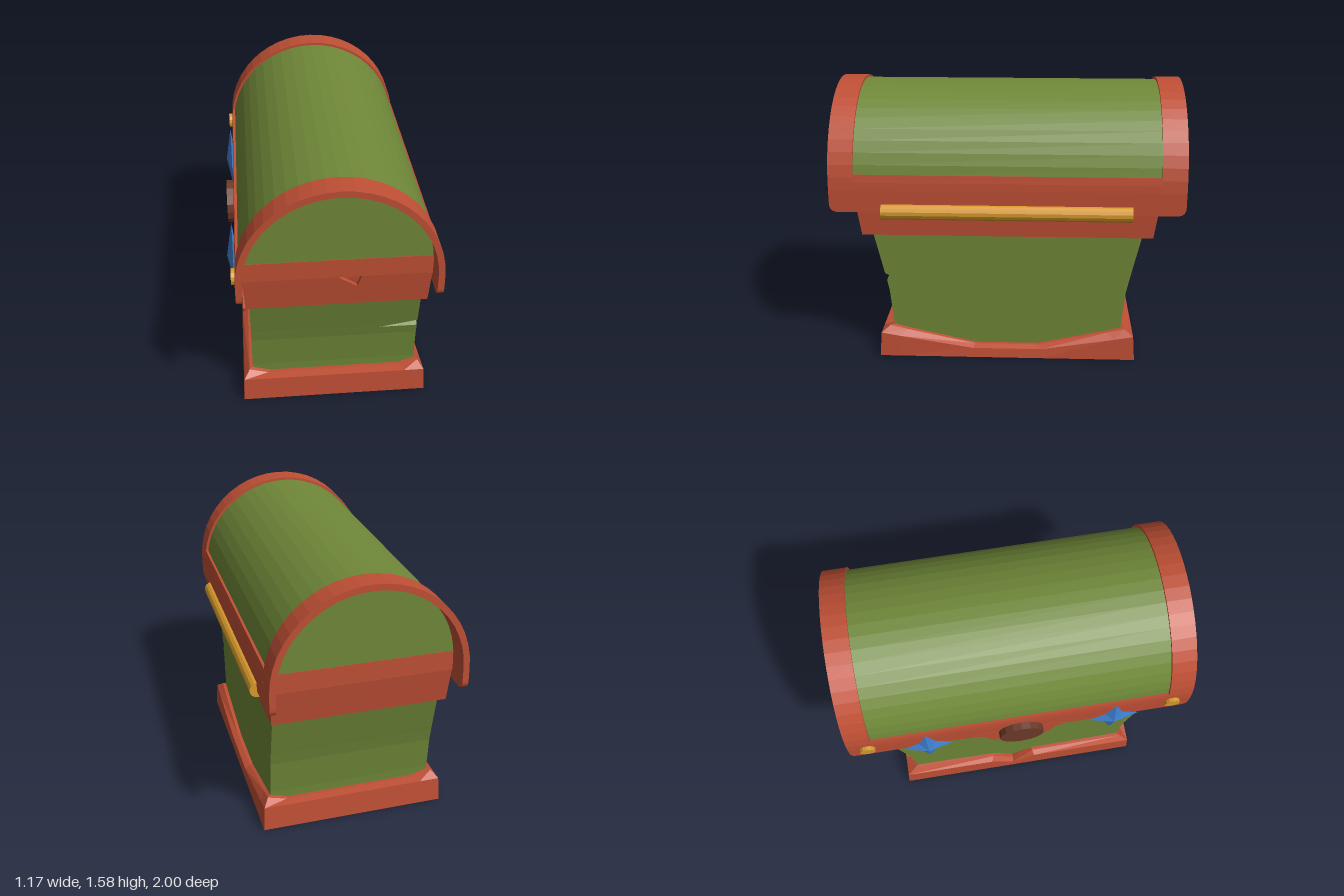
import * as THREE from 'three';

const mat = (color) => new THREE.MeshStandardMaterial({ color, flatShading: true });

export function createModel() {
  const group = new THREE.Group();
  const red = mat(0xbf4f35), green = mat(0x6f8838), gold = mat(0xd99a2b);
  const blue = mat(0x3f7fd0), brown = mat(0x6e3b2a);

  const add = (name, geometry, material) => {
    const mesh = new THREE.Mesh(geometry, material);
    mesh.name = name;
    group.add(mesh);
    return mesh;
  };

  const polygon = (pts) => new THREE.Shape(pts.map(([x, y]) => new THREE.Vector2(x, y)));

  const extrudeZ = (shape, z0, z1) =>
    new THREE.ExtrudeGeometry(shape, { depth: z1 - z0, bevelEnabled: false, curveSegments: 8 }).translate(0, 0, z0);

  // Shape drawn in (z, y), thickness running along x
  const extrudeX = (shape, x0, x1) => extrudeZ(shape, -x1, -x0).rotateY(-Math.PI / 2);

  // Skin over closed rings of points; wrap joins the last ring to the first
  const loft = (rows, wrap = false) => {
    const out = [];
    const n = rows[0].length;
    for (let j = 0; j < rows.length - (wrap ? 0 : 1); j++) {
      const lo = rows[j], hi = rows[(j + 1) % rows.length];
      for (let i = 0; i < n; i++) {
        const k = (i + 1) % n;
        out.push(...lo[i], ...lo[k], ...hi[k], ...lo[i], ...hi[k], ...hi[i]);
      }
    }
    const g = new THREE.BufferGeometry();
    g.setAttribute('position', new THREE.Float32BufferAttribute(out, 3));
    g.computeVertexNormals();
    return g;
  };

  // Curved band around the lid axis
  const lidY = 1.03;
  const bandShape = (rIn, rOut, a0, a1, segs) => {
    const arc = (r, t) => {
      const a = a0 + (a1 - a0) * t;
      return [r * Math.cos(a), lidY + r * Math.sin(a)];
    };
    const pts = [];
    for (let i = 0; i <= segs; i++) pts.push(arc(rOut, i / segs));
    for (let i = segs; i >= 0; i--) pts.push(arc(rIn, i / segs));
    return polygon(pts);
  };

  // Body: flared ends, with a wedge-shaped crack at the front corner
  const bodyRows = [
    // y, half depth, crack depth, y at the crack tip
    [0.03, 0.665, 0, 0.03], [0.2, 0.67, 0, 0.2], [0.4, 0.69, 0, 0.4],
    [0.46, 0.703, 0, 0.46], [0.48, 0.707, 0.035, 0.46], [0.505, 0.713, 0, 0.46],
    [0.58, 0.73, 0, 0.58], [0.76, 0.772, 0, 0.76],
  ].map(([y, z, cut, tipY]) => [
    [-0.48, y, z], [0.26, tipY, z - (y - tipY) * 0.22], [0.48, y, z - cut], [0.48, y, -z], [-0.48, y, -z],
  ]);
  add('body', loft(bodyRows), green);
  add('floor', new THREE.BoxGeometry(1.02, 0.02, 1.44).translate(0, 0.02, 0), green);

  // Base: worn rim, dipping on the right and notched on the left
  const stations = [
    // x fraction, z fraction, outer height, inner height
    [-1, 1, 0.145, 0.18], [-0.78, 1, 0.145, 0.15], [0.78, 1, 0.145, 0.15], [1, 1, 0.145, 0.18],
    [1, 0.85, 0.125, 0.155], [1, 0.27, 0.055, 0.07], [1, -0.27, 0.055, 0.07], [1, -0.85, 0.125, 0.155],
    [1, -1, 0.145, 0.18], [0.78, -1, 0.145, 0.15], [-0.78, -1, 0.145, 0.15], [-1, -1, 0.145, 0.18],
    [-1, -0.24, 0.14, 0.16], [-1, -0.05, 0.055, 0.06], [-1, 0.14, 0.14, 0.16],
  ];
  const baseRow = (x, z, height) => stations.map((s) => [s[0] * x, height(s), s[1] * z]);
  add('base', loft([
    baseRow(0.54, 0.75, () => 0),
    baseRow(0.532, 0.74, (s) => s[2]),
    baseRow(0.5, 0.69, (s) => s[3]),
    baseRow(0.475, 0.66, (s) => s[3]),
    baseRow(0.505, 0.715, () => 0),
  ], true), red);

  // Collar: tapered box with a chipped front panel
  const taper = (g) => {
    const p = g.attributes.position;
    for (let i = 0; i < p.count; i++) p.setZ(i, p.getZ(i) * (0.83 + 0.146 * (p.getY(i) - 0.75)));
    g.computeVertexNormals();
    return g;
  };
  const sides = [[-0.51, 0.953], [-0.5, 0.75], [0.5, 0.75], [0.51, 0.953]];
  add('collar', taper(extrudeZ(polygon(sides), -1, 0.97)), red);
  add('collarFront', taper(extrudeZ(
    polygon([...sides, [0.13, 0.953], [0.105, 0.88], [0, 0.953]]), 0.97, 1)), red);

  // Lid: lower frame and half-round barrel
  add('lidFrame', new THREE.BoxGeometry(1.02, 0.113, 1.73).translate(0, 1.0135, 0), red);
  const barrel = [];
  for (let i = 0; i <= 24; i++) {
    const a = (Math.PI * i) / 24;
    barrel.push([0.53 * Math.cos(a), lidY + 0.53 * Math.sin(a)]);
  }
  add('lidBarrel', extrudeZ(polygon(barrel), -0.862, 0.862), green);

  // Arched bands overhanging both ends
  for (const s of [-1, 1]) {
    const z = [s * 0.86, s].sort((a, b) => a - b);
    add(s > 0 ? 'frontArch' : 'backArch',
      extrudeZ(bandShape(0.51, 0.545, 0, Math.PI, 24), z[0], z[1]), red);
  }

  // Side rails with rounded lower corners, and the curved strip above each
  const rail = new THREE.Shape();
  rail.moveTo(-1, lidY);
  rail.lineTo(-1, 0.95);
  rail.quadraticCurveTo(-1, 0.9, -0.95, 0.9);
  rail.lineTo(0.95, 0.9);
  rail.quadraticCurveTo(1, 0.9, 1, 0.95);
  rail.lineTo(1, lidY);
  for (const s of [-1, 1]) {
    const side = s > 0 ? 'left' : 'right';
    const x = [s * 0.51, s * 0.545].sort((a, b) => a - b);
    add(side + 'Rail', extrudeX(rail, x[0], x[1]), red);
    const a0 = s > 0 ? 0 : Math.PI - 0.16;
    add(side + 'RailStrip', extrudeZ(bandShape(0.51, 0.545, a0, a0 + 0.16, 2), -0.86, 0.86), red);
  }

  // Hinge bar
  add('hingeBar', new THREE.CylinderGeometry(0.045, 0.045, 1.41, 14)
    .rotateX(Math.PI / 2).translate(0.54, 0.905, 0), gold);

  // Lock plate and round lock
  add('lockPlate', extrudeX(polygon([
    [-0.27, 0.93], [-0.26, 0.9], [-0.21, 0.87], [-0.18, 0.79], [-0.1, 0.73], [0, 0.71],
    [0.1, 0.73], [0.18, 0.79], [0.21, 0.87], [0.26, 0.9], [0.27, 0.93],
  ]), -0.546, -0.5), red);
  add('lock', new THREE.CylinderGeometry(0.13, 0.13, 0.05, 16)
    .rotateZ(Math.PI / 2).translate(-0.56, 0.925, 0), brown);

  // Faceted four-pointed gems and rivets
  const ring = (scale, y) => Array.from({ length: 8 }, (_, i) => {
    const a = (i * Math.PI) / 4, r = scale * (i % 2 ? 0.48 : 1);
    return [0.215 * r * Math.sin(a), y, 0.15 * r * Math.cos(a)];
  });
  for (const s of [-1, 1]) {
    const end = s > 0 ? 'front' : 'back';
    add(end + 'Gem', loft([ring(0, 0.53), ring(1, 0.555), ring(0, 0.59)])
      .rotateZ(Math.PI / 2).translate(0, 0.915, s * 0.55), blue);
    add(end + 'Rivet', new THREE.CylinderGeometry(0.045, 0.045, 0.04, 12)
      .rotateZ(Math.PI / 2).translate(-0.545, 1.02, s * 0.89), gold);
  }

  return group;
}
